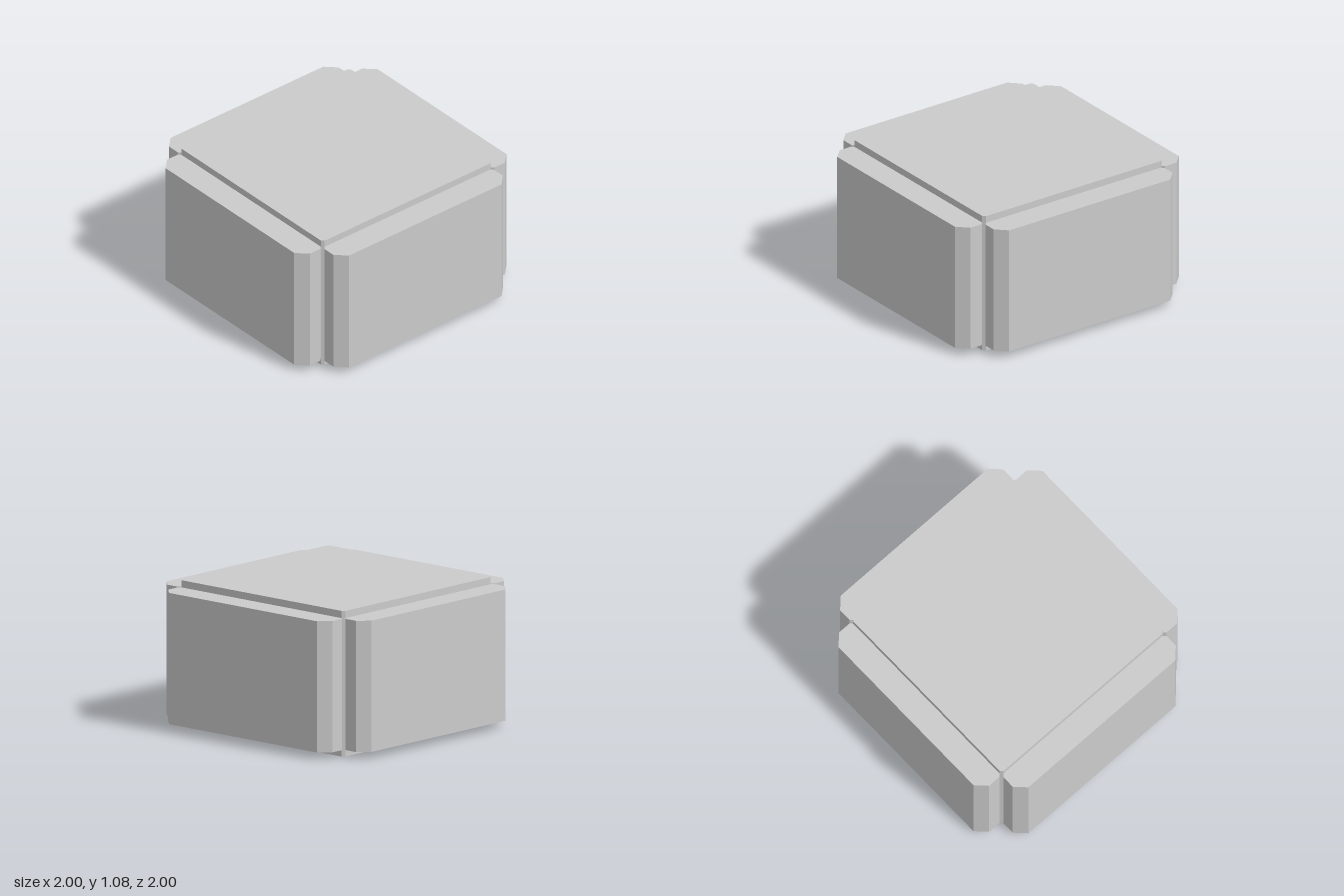
import * as THREE from 'three';

const material = new THREE.MeshStandardMaterial({ color: 0xcccccc, flatShading: true });

// Vertical prism: a plan outline of [x, z] points raised from y0 to y1
function prism(name, outline, y0, y1) {
  const shape = new THREE.Shape(outline.map(([x, z]) => new THREE.Vector2(x, -z)));
  const geometry = new THREE.ExtrudeGeometry(shape, { depth: y1 - y0, bevelEnabled: false });
  geometry.rotateX(-Math.PI / 2).translate(0, y0, 0);
  const mesh = new THREE.Mesh(geometry, material);
  mesh.name = name;
  return mesh;
}

export function createModel() {
  const group = new THREE.Group();
  group.name = 'panelledBlock';

  // Full-height core with slightly chamfered vertical edges
  group.add(prism('core', [
    [0.8, -0.78], [0.8, 0.78], [0.78, 0.8], [-0.78, 0.8],
    [-0.8, 0.78], [-0.8, -0.78], [-0.78, -0.8], [0.78, -0.8],
  ], 0, 1.075));

  // Four matching side panels, chamfered at both ends
  const half = [[0.8, 0.78], [0.82, 0.8], [0.92, 0.8], [1, 0.72]];
  const outline = [...half, ...half.map(([x, z]) => [x, -z]).reverse()];
  ['leftPanel', 'backPanel', 'rightPanel', 'frontPanel'].forEach((name, i) => {
    const panel = prism(name, outline, 0.053, 1.022);
    panel.rotation.y = i * Math.PI / 2;
    group.add(panel);
  });

  return group;
}
